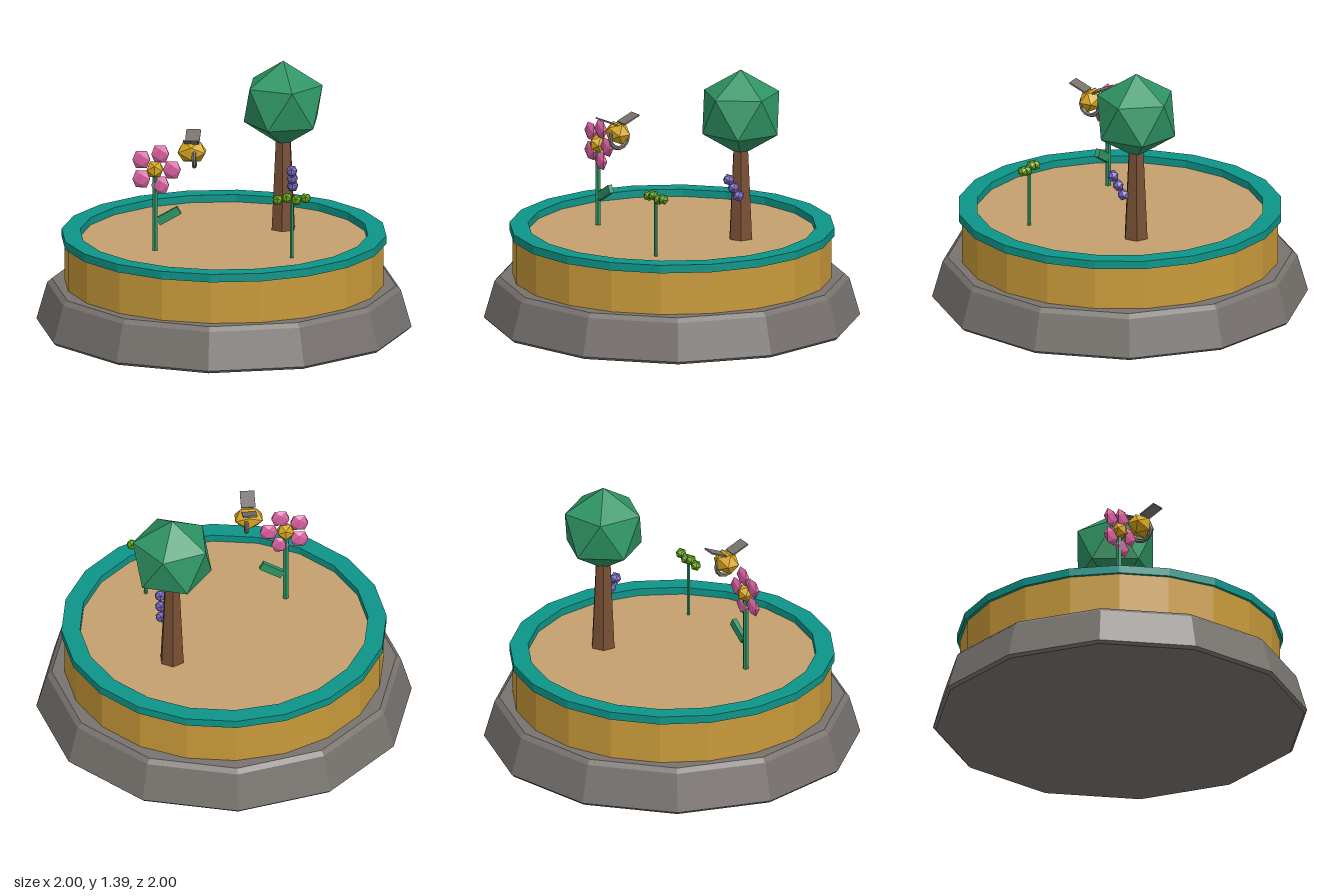
import * as THREE from 'three';

const COLORS = {
  stone: 0x78736f, ochre: 0xc99a3a, teal: 0x0d9488, sand: 0xc4a06e, leafGreen: 0x2f9565,
  bark: 0x784f34, pink: 0xd9609f, honey: 0xd6a51c, lime: 0x65a30d, violet: 0x7566c0,
};
const FLOOR = 0.472;

export function createModel() {
  const root = new THREE.Group();
  const mats = {};
  for (const [name, color] of Object.entries(COLORS)) {
    mats[name] = new THREE.MeshStandardMaterial({ color, flatShading: true });
    mats[name].name = name;
  }

  const group = (name, x, y, z) => {
    const g = new THREE.Group();
    g.name = name;
    g.position.set(x, y, z);
    root.add(g);
    return g;
  };
  const add = (parent, name, geometry, mat, x = 0, y = 0, z = 0) => {
    const mesh = new THREE.Mesh(geometry, mats[mat]);
    mesh.name = name;
    mesh.position.set(x, y, z);
    parent.add(mesh);
    return mesh;
  };
  const lathe = (points, sides) =>
    new THREE.LatheGeometry(points.map(([r, y]) => new THREE.Vector2(r, y)), sides);
  const gem = (r) => new THREE.IcosahedronGeometry(r, 0);
  // gem turned so that one corner points straight up
  const uprightGem = (r) => gem(r).rotateZ(-Math.atan2(2, 1 + Math.sqrt(5)));
  // post standing on the floor, up to height top above the ground
  const post = (rTop, rBottom, top, sides) =>
    new THREE.CylinderGeometry(rTop, rBottom, top - FLOOR, sides).translate(0, (top + FLOOR) / 2, 0);

  // Twelve-sided stone foot with bevelled edges
  add(root, 'stoneBase', lathe(
    [[0, 0], [0.985, 0], [1, 0.015], [0.943, 0.215], [0.918, 0.238], [0, 0.238]], 12), 'stone');

  // Round planter: wall, sandy floor and raised rim
  add(root, 'planterWall', new THREE.CylinderGeometry(0.85, 0.85, 0.25, 20), 'ochre', 0, 0.345, 0);
  add(root, 'sandFloor', new THREE.CylinderGeometry(0.8, 0.8, 0.02, 20), 'sand', 0, FLOOR - 0.01, 0);
  add(root, 'rim', lathe(
    [[0.767, 0.468], [0.866, 0.468], [0.866, 0.512], [0.767, 0.512], [0.767, 0.468]], 20), 'teal');

  // Tree
  const tree = group('tree', 0.295, 0, -0.247);
  add(tree, 'trunk', post(0.042, 0.068, 1.0, 6), 'bark');
  add(tree, 'crown', uprightGem(0.235), 'leafGreen', 0, 1.16, 0);

  // Berries climbing beside the trunk
  const berries = group('berries', 0.35, 0.77, -0.167);
  for (const i of [-1, 0, 1]) {
    add(berries, 'berry', gem(0.033), 'violet', 0, i * 0.048, i * 0.03);
  }

  // Flower
  const flower = group('flower', -0.347, 0, 0.247);
  add(flower, 'stem', post(0.016, 0.016, 0.9, 6), 'leafGreen');
  const leaf = add(flower, 'leaf', new THREE.BoxGeometry(0.13, 0.045, 0.025), 'leafGreen', 0.073, 0.663, 0);
  leaf.rotation.z = 0.53;
  add(flower, 'flowerCentre', gem(0.05), 'honey', 0, 0.915, 0);
  for (let i = 0; i < 5; i++) {
    const a = (i * Math.PI * 2) / 5;
    const petal = add(flower, 'petal', gem(0.055), 'pink',
      0.09 * Math.cos(a), 0.915 + 0.09 * Math.sin(a), 0);
    petal.scale.z = 0.4;
  }

  // Bee hovering beside the flower
  const bee = group('bee', -0.15, 1.018, 0.247);
  add(bee, 'beeBody', gem(0.064), 'honey').scale.x = 1.35;
  const stripe = add(bee, 'beeStripe', new THREE.TorusGeometry(0.055, 0.012, 6, 12), 'stone', 0.014, -0.026, 0);
  stripe.rotation.y = Math.PI / 2;
  for (const s of [-1, 1]) {
    const wing = add(bee, 'beeWing', new THREE.BoxGeometry(0.077, 0.008, 0.1), 'stone', 0, 0.07, s * 0.067);
    wing.rotation.x = -s * 0.41;
  }

  // Caterpillar on a thin stalk
  const caterpillar = group('caterpillar', 0.39, 0, 0.343);
  add(caterpillar, 'stalk', post(0.01, 0.01, 0.79, 6), 'leafGreen');
  for (let i = 0; i < 4; i++) {
    add(caterpillar, 'caterpillarSegment', gem(0.03), 'lime',
      (i - 1.5) * 0.05, i % 2 ? 0.8 : 0.788, 0);
  }

  return root;
}
